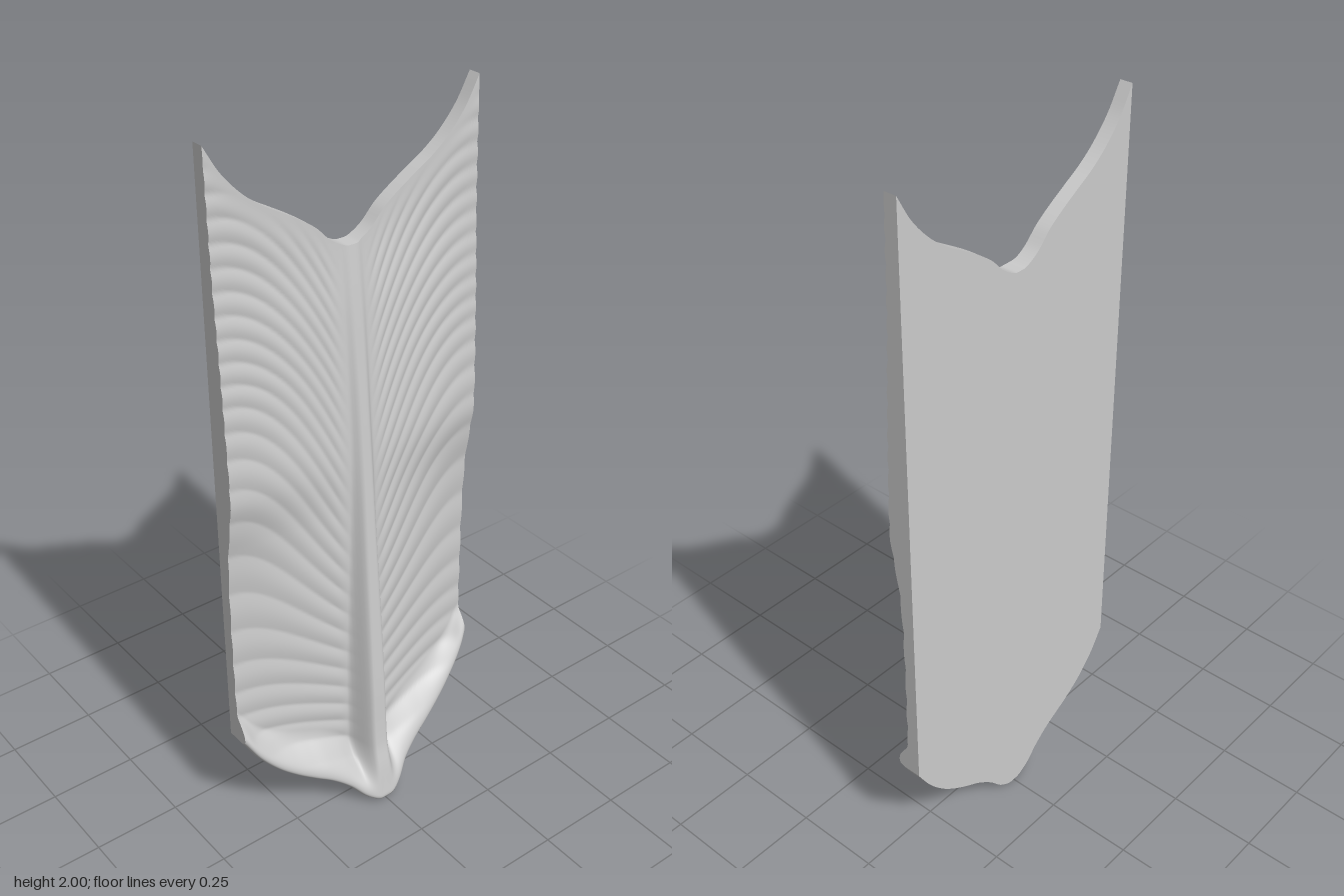
import * as THREE from 'three';

const HALF = 0.39, BACK = -0.1, NX = 144, NY = 280;
const smooth = THREE.MathUtils.smoothstep;
const mix = THREE.MathUtils.lerp;

// Smooth curve through [position, value] points
function curve(pts) {
  const slope = (i) => {
    const a = pts[Math.max(i - 1, 0)], b = pts[Math.min(i + 1, pts.length - 1)];
    return (b[1] - a[1]) / (b[0] - a[0]);
  };
  return (x) => {
    if (x <= pts[0][0]) return pts[0][1];
    let i = 0;
    while (i < pts.length - 2 && x > pts[i + 1][0]) i++;
    const [x0, y0] = pts[i], [x1, y1] = pts[i + 1], h = x1 - x0;
    const t = Math.min((x - x0) / h, 1), s = 1 - t;
    return y0 * s * s * (1 + 2 * t) + y1 * t * t * (3 - 2 * t)
      + h * (slope(i) * t * s * s - slope(i + 1) * t * t * s);
  };
}

// Outline, by distance from the centre line
const bottomY = curve([[0, 0.005], [0.02, 0.006], [0.06, 0.03], [0.1, 0.073], [0.15, 0.113], [0.2, 0.142],
  [0.25, 0.173], [0.3, 0.213], [0.35, 0.27], [0.39, 0.335]]);
const topY = curve([[0, 1.675], [0.02, 1.677], [0.06, 1.7], [0.1, 1.74], [0.15, 1.775], [0.2, 1.805],
  [0.25, 1.835], [0.3, 1.875], [0.35, 1.932], [0.39, 2]]);
// Depth of the lower lip, by distance from the centre line
const lipZ = curve([[0, 0.097], [0.03, 0.095], [0.06, 0.082], [0.1, 0.06], [0.2, 0.03],
  [0.3, 0], [0.37, -0.02], [0.39, -0.03]]);
// Depths by height: central ridge, field beside it, outer edge
const ridgeZ = curve([[0, 0.097], [0.1, 0.084], [0.2, 0.067], [0.4, 0.055], [0.8, 0.026],
  [1.2, -0.005], [1.5, -0.033], [1.7, -0.056]]);
const innerZ = curve([[0.2, 0.005], [0.5, 0], [0.9, -0.005], [1.2, -0.02], [1.5, -0.042], [1.7, -0.06], [2, -0.065]]);
const outerZ = curve([[0.3, -0.06], [0.45, -0.065], [0.8, -0.066], [0.95, -0.058], [1.1, -0.036],
  [1.25, -0.038], [1.5, -0.048], [1.7, -0.058], [2, -0.065]]);

// Carved front surface
function frontZ(x, y) {
  const ax = Math.abs(x), u = ax / HALF, d = y - bottomY(ax);
  // barbs sweep up from the ridge and level off at the edge
  const rise = 0.1 + 0.4 * smooth(y, 0.25, 1.4);
  const phase = (y - rise * (1 - (1 - u) ** 2)) / 0.058;
  const fade = smooth(ax, 0.03, 0.09) * smooth(topY(ax) - y, 0, 0.1);
  const barb = 0.004 * (Math.abs(Math.sin(Math.PI * phase)) - 0.6) * fade;
  let z = mix(innerZ(y), outerZ(y), smooth(u, -0.25, 1.1)) + barb;
  // ridge, narrowing upward
  const w = mix(0.06, 0.035, smooth(y, 0.2, 1.3));
  z = mix(z, ridgeZ(y), 1 - smooth(ax, 0.3 * w, w));
  // swollen lip along the lower outline, with a rounded edge
  const lip = lipZ(ax) - 0.14 * Math.max(d, 0) * (1 - u);
  z = mix(lip, z, smooth(d, 0.02, 0.19 - 0.09 * u));
  const r = 0.016, k = Math.max(0, 1 - d / r);
  return z - r * (1 - Math.sqrt(1 - Math.min(k, 1) ** 2));
}

// Surface from a rule giving a point for (u, v)
function sheet(name, nu, nv, point, flip = false) {
  const pos = [], index = [];
  for (let j = 0; j <= nv; j++)
    for (let i = 0; i <= nu; i++) pos.push(...point(i / nu, j / nv));
  for (let j = 0; j < nv; j++)
    for (let i = 0; i < nu; i++) {
      const a = j * (nu + 1) + i, b = a + 1, c = a + nu + 1, e = c + 1;
      index.push(...(flip ? [a, e, b, a, c, e] : [a, b, e, a, e, c]));
    }
  const g = new THREE.BufferGeometry();
  g.setAttribute('position', new THREE.Float32BufferAttribute(pos, 3));
  g.setIndex(index);
  g.computeVertexNormals();
  const mesh = new THREE.Mesh(g, new THREE.MeshStandardMaterial({ color: 0xcccccc }));
  mesh.name = name;
  return mesh;
}

export function createModel() {
  const group = new THREE.Group();
  group.name = 'featherPanel';
  const xAt = (u) => (2 * u - 1) * HALF;
  const yAt = (x, v) => mix(bottomY(Math.abs(x)), topY(Math.abs(x)), v);

  group.add(sheet('carvedFront', NX, NY, (u, v) => {
    const x = xAt(u), y = yAt(x, v);
    return [x, y, frontZ(x, y)];
  }));
  group.add(sheet('flatBack', NX, 1, (u, v) => [xAt(u), yAt(xAt(u), v), BACK], true));

  // lower and upper end walls
  for (const end of [0, 1])
    group.add(sheet(end ? 'upperWall' : 'lowerWall', NX, 4, (u, v) => {
      const x = xAt(u), y = yAt(x, end);
      return [x, y, mix(BACK, frontZ(x, y), v)];
    }, end === 1));

  // long side walls
  for (const side of [-1, 1])
    group.add(sheet(side > 0 ? 'leftWall' : 'rightWall', 1, NY, (u, v) => {
      const x = side * HALF, y = yAt(x, v);
      return [x, y, mix(BACK, frontZ(x, y), u)];
    }, side > 0));
  return group;
}
